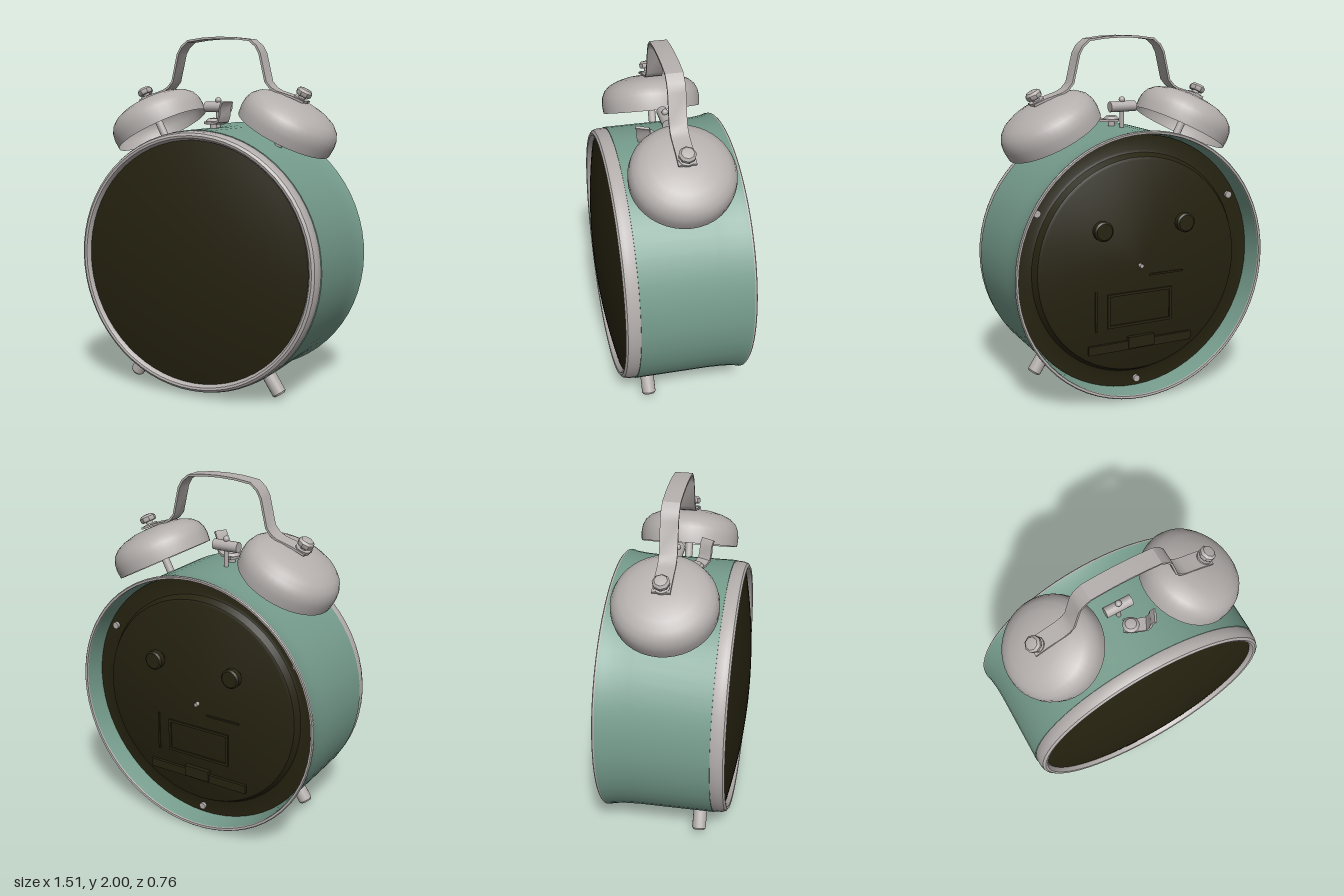
import * as THREE from 'three';
import { toCreasedNormals } from 'three/addons/utils/BufferGeometryUtils.js';

const CY = 0.755; // height of the case centre
const BZ = -0.035; // depth of the bells and handle

const green = new THREE.MeshStandardMaterial({ color: 0x769d8d, side: THREE.DoubleSide });
green.name = 'greenEnamel';
const metal = new THREE.MeshStandardMaterial({ color: 0xb4afad, side: THREE.DoubleSide });
metal.name = 'greyMetal';
const dark = new THREE.MeshStandardMaterial({ color: 0x262310, side: THREE.DoubleSide });
dark.name = 'darkOlive';

function add(parent, name, geometry, material, x = 0, y = 0, z = 0) {
  const mesh = new THREE.Mesh(geometry, material);
  mesh.name = name;
  mesh.position.set(x, y, z);
  parent.add(mesh);
  return mesh;
}

const lathe = (pts, seg = 48) =>
  toCreasedNormals(new THREE.LatheGeometry(pts.map(([r, y]) => new THREE.Vector2(r, y)), seg), 0.6);

// Lathe turned so that its axis runs along z; points are [radius, z]
const latheZ = (pts, seg = 64) => lathe(pts, seg).rotateX(Math.PI / 2);

const rod = (r, h, seg = 16) => new THREE.CylinderGeometry(r, r, h, seg);

// Flat strip of metal bent along a polyline in xy, with its width along z
function ribbon(pts, thickness, width) {
  const path = pts.map(([x, y]) => new THREE.Vector2(x, y));
  const side = (d) => path.map((p, i) => {
    const t = path[Math.min(i + 1, path.length - 1)].clone().sub(path[Math.max(i - 1, 0)]).normalize();
    return new THREE.Vector2(p.x - t.y * d, p.y + t.x * d);
  });
  const shape = new THREE.Shape([...side(-thickness / 2), ...side(thickness / 2).reverse()]);
  const geo = new THREE.ExtrudeGeometry(shape, { depth: width, bevelEnabled: false });
  return toCreasedNormals(geo.translate(0, 0, -width / 2), 0.5);
}

function buildCase() {
  const g = new THREE.Group();
  g.name = 'clockCase';
  g.position.y = CY;
  // Shell flaring at the back, with an inner wall
  add(g, 'caseShell', latheZ([[0.738, -0.365], [0.728, -0.3], [0.72, -0.2], [0.72, 0.25], [0.735, 0.25],
    [0.735, -0.18], [0.739, -0.27], [0.746, -0.33], [0.755, -0.365]]), green);
  add(g, 'backRim', latheZ([[0.736, -0.364], [0.738, -0.373], [0.75, -0.375], [0.755, -0.37], [0.755, -0.362]]), metal);
  // Bezel and domed front
  add(g, 'bezel', latheZ([[0.7, 0.245], [0.728, 0.245], [0.732, 0.255], [0.73, 0.295], [0.722, 0.318],
    [0.708, 0.328], [0.695, 0.325], [0.684, 0.31], [0.678, 0.28]]), metal);
  const dome = [];
  for (let i = 0; i <= 10; i++) {
    const r = 0.685 * (1 - i / 10);
    dome.push([r, 0.378 - 0.078 * (r / 0.685) ** 2]);
  }
  add(g, 'frontDome', latheZ(dome), dark);
  // Recessed back plate with a raised middle
  add(g, 'backPlate', latheZ([[0, -0.305], [0.59, -0.305], [0.605, -0.298], [0.625, -0.262],
    [0.64, -0.255], [0.722, -0.255]]), dark);

  const screwGeo = rod(0.02, 0.02, 12).rotateX(Math.PI / 2);
  for (const deg of [30, 150, 270]) {
    const a = THREE.MathUtils.degToRad(deg);
    add(g, 'backScrew', screwGeo, metal, 0.68 * Math.cos(a), 0.68 * Math.sin(a), -0.262);
  }
  add(g, 'centrePin', rod(0.012, 0.03, 10).rotateX(Math.PI / 2), metal, 0, 0, -0.315);
  for (const s of [-1, 1]) {
    add(g, 'settingKnob', latheZ([[0, -0.38], [0.045, -0.38], [0.055, -0.372], [0.055, -0.34],
      [0.03, -0.335], [0.03, -0.3]], 20), dark, s * 0.25, 0.23, 0);
  }
  // Battery hatch frame, latch bar and grooves
  const frame = new THREE.Shape([[-0.2, -0.34], [0.2, -0.34], [0.2, -0.145], [-0.2, -0.145]]
    .map(([x, y]) => new THREE.Vector2(x, y)));
  frame.holes.push(new THREE.Path([[-0.185, -0.325], [-0.185, -0.16], [0.185, -0.16], [0.185, -0.325]]
    .map(([x, y]) => new THREE.Vector2(x, y))));
  add(g, 'hatchFrame', new THREE.ExtrudeGeometry(frame, { depth: 0.008, bevelEnabled: false }), dark, 0, 0, -0.313);
  add(g, 'latchBar', new THREE.BoxGeometry(0.64, 0.05, 0.02), dark, 0, -0.45, -0.312);
  add(g, 'latchTab', new THREE.BoxGeometry(0.16, 0.065, 0.03), dark, 0, -0.435, -0.315);
  add(g, 'plateRidge', new THREE.BoxGeometry(0.21, 0.01, 0.008), dark, -0.165, -0.06, -0.308);
  add(g, 'plateRidge', new THREE.BoxGeometry(0.01, 0.23, 0.008), dark, 0.27, -0.235, -0.308);
  return g;
}

function buildBell(s) {
  const g = new THREE.Group();
  g.name = s > 0 ? 'leftBell' : 'rightBell';
  g.position.set(s * 0.39, 1.465, BZ);
  g.rotation.z = -s * 0.48;
  add(g, 'bellDome', lathe([[0.279, 0], [0.283, 0.05], [0.278, 0.09], [0.262, 0.125], [0.23, 0.155],
    [0.18, 0.178], [0.11, 0.195], [0.05, 0.2], [0, 0.2]], 40), metal);
  add(g, 'bellPost', rod(0.022, 0.29), metal, 0, 0.055, 0);
  // Nut and cap holding the handle
  add(g, 'bellWasher', rod(0.042, 0.014), metal, 0, 0.215, 0);
  add(g, 'bellStem', rod(0.02, 0.05), metal, 0, 0.235, 0);
  add(g, 'bellCap', lathe([[0, 0.236], [0.04, 0.236], [0.046, 0.245], [0.046, 0.262], [0.034, 0.275], [0, 0.28]], 8), metal);
  return g;
}

function buildHammer() {
  const g = new THREE.Group();
  g.name = 'hammer';
  g.position.set(-0.02, 0, BZ);
  add(g, 'hammerRod', rod(0.013, 0.19, 10), metal, 0, 1.55, 0);
  add(g, 'hammerHead', rod(0.03, 0.155).rotateZ(Math.PI / 2), metal, -0.002, 1.607, 0);
  add(g, 'hammerTip', new THREE.SphereGeometry(0.018, 12, 8), metal, 0, 1.645, 0);
  return g;
}

function buildLever() {
  const g = new THREE.Group();
  g.name = 'stopLever';
  g.position.set(0, 1.5, 0.06);
  g.rotation.y = -0.45;
  add(g, 'leverPivot', rod(0.02, 0.08), metal, 0, 0.0, 0);
  add(g, 'leverCap', lathe([[0.042, 0.015], [0.045, 0.03], [0.03, 0.045], [0, 0.05]], 16), metal);
  add(g, 'leverArm', ribbon([[-0.04, 0.02], [0.05, 0.02], [0.085, 0.032], [0.1, 0.065], [0.105, 0.11], [0.125, 0.14]],
    0.014, 0.075), metal);
  return g;
}

export function createModel() {
  const model = new THREE.Group();
  model.name = 'alarmClock';
  model.add(buildCase(), buildHammer(), buildLever());

  for (const s of [-1, 1]) {
    model.add(buildBell(s));
    // Splayed front foot
    const a = 0.575;
    const foot = add(model, s > 0 ? 'leftFoot' : 'rightFoot',
      lathe([[0, -0.085], [0.032, -0.085], [0.04, -0.075], [0.04, 0.07], [0, 0.07]], 16), metal,
      s * 0.77 * Math.sin(a), CY - 0.77 * Math.cos(a), 0.16);
    foot.rotation.z = s * a;
  }

  // Carrying handle bent from one strip
  const half = [[0.52, 1.638], [0.45, 1.668], [0.36, 1.695], [0.325, 1.715], [0.295, 1.75],
    [0.258, 1.905], [0.235, 1.945], [0.195, 1.978], [0.1, 1.99]];
  const path = [...half, [0, 1.994], ...half.map(([x, y]) => [-x, y]).reverse()];
  add(model, 'handle', ribbon(path, 0.012, 0.095), metal, 0, 0, BZ);
  return model;
}
